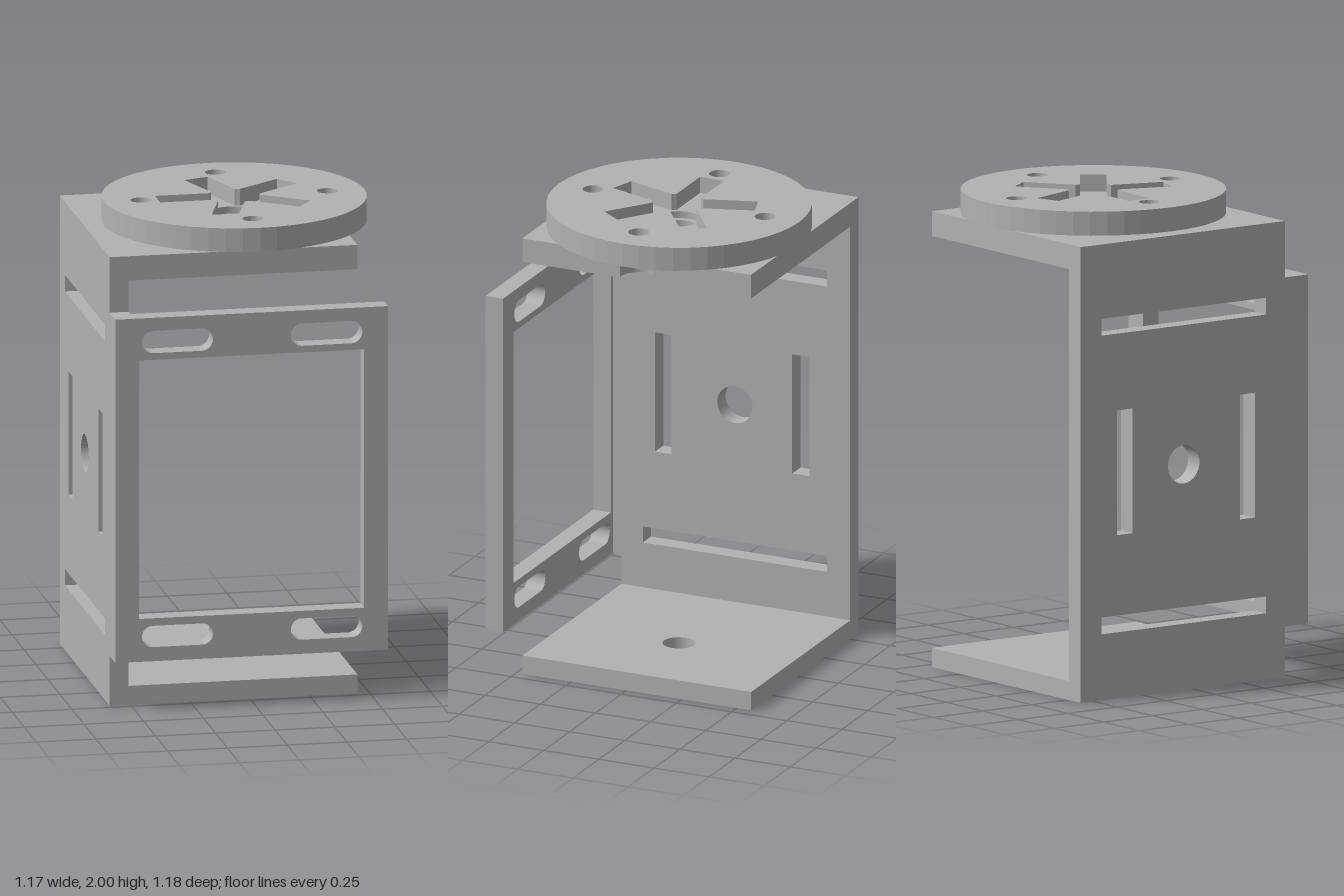
import * as THREE from 'three';

const CX = 0.038, CY = 0.045; // turntable axis in plan (shape y is -z)
const X0 = -0.587, X1 = -0.507, X2 = 0.45; // wall outside, wall inside, plate edge

function poly(points, Type = THREE.Path) {
  const p = new Type();
  points.forEach(([x, y], i) => (i ? p.lineTo(x, y) : p.moveTo(x, y)));
  p.closePath();
  return p;
}

function rect(x0, y0, x1, y1, Type) {
  return poly([[x0, y0], [x1, y0], [x1, y1], [x0, y1]], Type);
}

function circle(x, y, r, Type = THREE.Path) {
  const p = new Type();
  p.absarc(x, y, r, 0, Math.PI * 2, false);
  return p;
}

// Horizontal slot with round ends
function slot(x0, y0, x1, y1) {
  const r = (y1 - y0) / 2, cy = (y0 + y1) / 2;
  const p = new THREE.Path();
  p.absarc(x1 - r, cy, r, -Math.PI / 2, Math.PI / 2, false);
  p.absarc(x0 + r, cy, r, Math.PI / 2, Math.PI * 1.5, false);
  p.closePath();
  return p;
}

function extrude(shape, holes, depth) {
  shape.holes.push(...holes);
  return new THREE.ExtrudeGeometry(shape, { depth, bevelEnabled: false, curveSegments: 24 });
}

// Extrusion lying flat between two heights
function slab(shape, holes, y0, y1) {
  return extrude(shape, holes, y1 - y0).rotateX(-Math.PI / 2).translate(0, y0, 0);
}

// Plate whose right edge is broken open by a screw hole of radius r
function notchedPlate(r) {
  const hx = CX + 0.39;
  const a = Math.acos((X2 - hx) / r);
  const s = new THREE.Shape();
  s.moveTo(X1, -0.472);
  s.lineTo(X2, -0.472);
  s.absarc(hx, CY, r, -a, a, true);
  s.lineTo(X2, 0.565);
  s.lineTo(X1, 0.565);
  s.closePath();
  return s;
}

// Screw holes on the turntable's bolt circle, from the given first index
function boltHoles(r, first) {
  const out = [];
  for (let i = first; i < 4; i++) {
    const a = (i * Math.PI) / 2;
    out.push(circle(CX + 0.39 * Math.cos(a), CY + 0.39 * Math.sin(a), r));
  }
  return out;
}

// Five-armed recess with a round middle
function star() {
  const pts = [], w = 0.055, len = 0.32, mid = 0.109;
  const inner = Math.sqrt(mid * mid - w * w);
  for (let k = 0; k < 5; k++) {
    const a = Math.PI + (k * Math.PI * 2) / 5, c = Math.cos(a), s = Math.sin(a);
    for (const [u, v] of [[inner, -w], [len, -w], [len, w], [inner, w]]) {
      pts.push([CX + u * c - v * s, CY + u * s + v * c]);
    }
    const b = a + Math.PI / 5;
    pts.push([CX + mid * Math.cos(b), CY + mid * Math.sin(b)]);
  }
  return poly(pts);
}

export function createModel() {
  const group = new THREE.Group();
  const grey = new THREE.MeshStandardMaterial({ color: 0xb2b2b2 });
  grey.name = 'light grey';
  const add = (name, geometry) => {
    const m = new THREE.Mesh(geometry, grey);
    m.name = name;
    group.add(m);
  };

  // Side wall, with the step that carries the front frame
  const wall = poly([
    [-0.565, 0], [0.472, 0], [0.472, 0.21], [0.51, 0.21],
    [0.51, 1.665], [0.472, 1.665], [0.472, 1.9], [-0.565, 1.9],
  ], THREE.Shape);
  add('sideWall', extrude(wall, [
    rect(-0.46, 1.52, 0.375, 1.59),
    rect(-0.46, 0.275, 0.375, 0.345),
    rect(0.245, 0.68, 0.32, 1.2),
    rect(-0.38, 0.68, -0.302, 1.2),
    circle(-0.042, 0.94, 0.08),
  ], X1 - X0).rotateY(-Math.PI / 2).translate(X1, 0, 0));

  // Front frame with four mounting slots
  const slots = [];
  for (const [y0, y1] of [[0.27, 0.36], [1.515, 1.61]]) {
    slots.push(slot(-0.475, y0, -0.178, y1), slot(0.148, y0, 0.447, y1));
  }
  add('frontFrame', extrude(rect(X0, 0.21, 0.555, 1.665, THREE.Shape),
    [rect(-0.487, 0.392, 0.455, 1.487), ...slots], 0.08).translate(0, 0, 0.51));

  // Bottom plate with a bearing hole, widened underneath
  for (const [name, r, y0, y1] of [['bottomPlateUnderside', 0.092, 0, 0.02], ['bottomPlate', 0.068, 0.02, 0.08]]) {
    add(name, slab(rect(X1, -0.472, X2, 0.565, THREE.Shape), [circle(CX, CY, r)], y0, y1));
  }

  // Top plate, its holes widened underneath for screw heads
  add('topPlateUnderside', slab(notchedPlate(0.077), [circle(CX, CY, 0.092), ...boltHoles(0.077, 1)], 1.797, 1.875));
  add('topPlate', slab(notchedPlate(0.043), [circle(CX, CY, 0.068), ...boltHoles(0.043, 1)], 1.875, 1.9));

  // Turntable: floor and star-cut upper layer
  const disc = () => circle(CX, CY, 0.545, THREE.Shape);
  add('turntableFloor', slab(disc(), [circle(CX, CY, 0.092), ...boltHoles(0.043, 0)], 1.9, 1.93));
  add('turntableTop', slab(disc(), [star(), ...boltHoles(0.043, 0)], 1.93, 2));

  return group;
}
